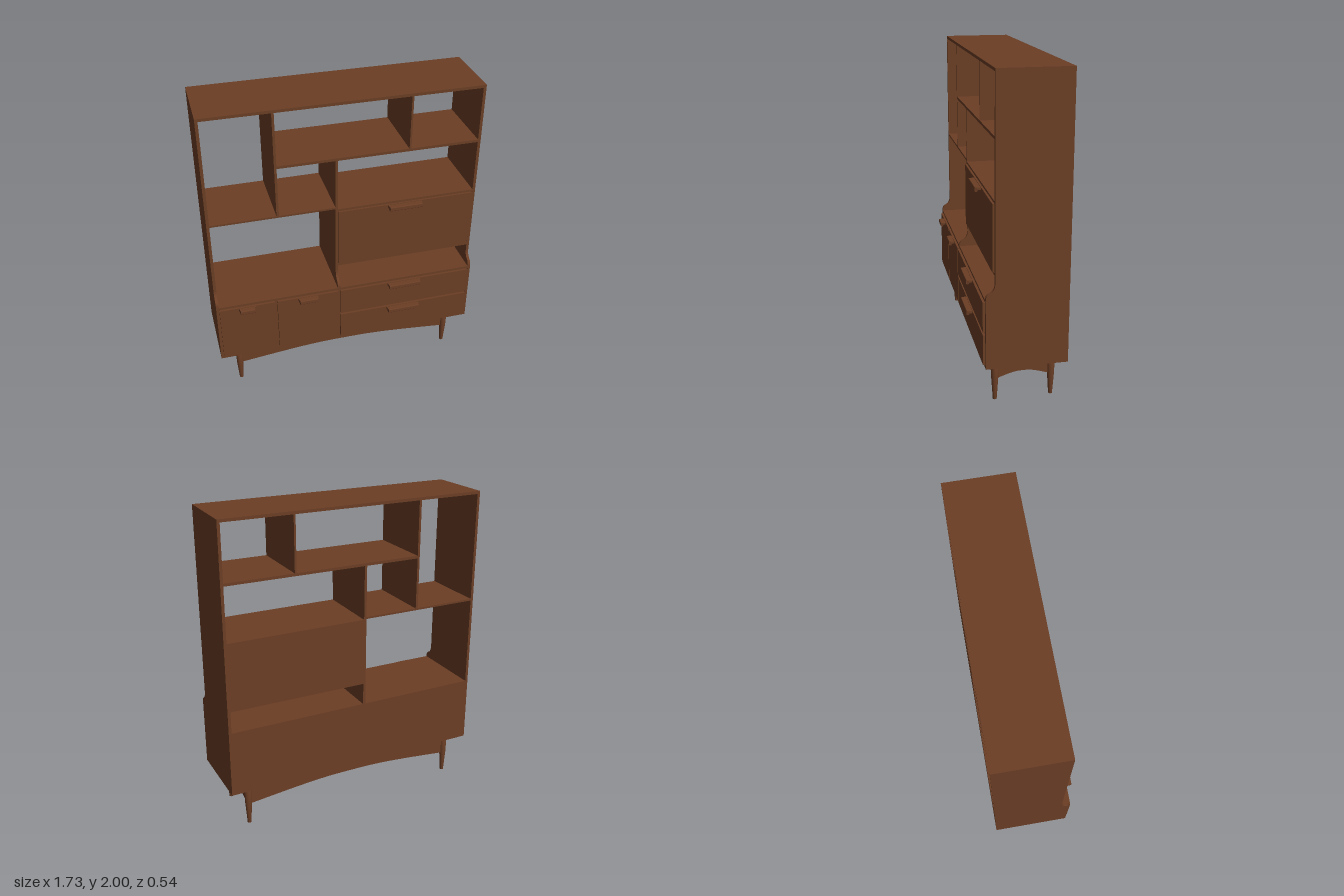
import * as THREE from 'three';

const wood = new THREE.MeshStandardMaterial({ color: 0x6b3e25 });
wood.name = 'walnut brown';

const BACK = -0.268, UPPER = 0.168, LOWER = 0.223;

export function createModel() {
  const root = new THREE.Group();
  root.name = 'wallUnit';

  const add = (name, geo, x = 0, y = 0, z = 0) => {
    const m = new THREE.Mesh(geo, wood);
    m.name = name;
    m.position.set(x, y, z);
    root.add(m);
    return m;
  };
  // Box given by its limits on each axis
  const box = (name, x0, x1, y0, y1, z0 = BACK, z1 = UPPER) =>
    add(name, new THREE.BoxGeometry(x1 - x0, y1 - y0, z1 - z0), (x0 + x1) / 2, (y0 + y1) / 2, (z0 + z1) / 2);

  // Upright with a deeper base and an S-curved shoulder (profile in z, y)
  const upright = (name, x, thick, top) => {
    const s = new THREE.Shape();
    s.moveTo(BACK, 0.27);
    s.lineTo(LOWER, 0.27);
    s.lineTo(LOWER, 0.7);
    s.bezierCurveTo(LOWER, 0.745, 0.197, 0.735, 0.182, 0.755);
    s.quadraticCurveTo(UPPER, 0.772, UPPER, 0.8);
    s.lineTo(UPPER, top);
    s.lineTo(BACK, top);
    s.closePath();
    const g = new THREE.ExtrudeGeometry(s, { depth: thick, bevelEnabled: false, curveSegments: 8 });
    g.translate(0, 0, -thick / 2);
    g.rotateY(-Math.PI / 2);
    g.scale(1, 1, 1);
    add(name, g, x);
  };
  upright('rightSide', -0.854, 0.018, 2);
  upright('leftSide', 0.854, 0.018, 2);
  upright('middleUpright', -0.057, 0.016, 1.625);

  // Carcass boards and shelves
  box('topBoard', -0.845, 0.845, 1.982, 2);
  box('upperShelf', -0.43, 0.845, 1.62, 1.637);
  box('leftShelf', -0.845, -0.057, 1.279, 1.291);
  box('cupboardTop', -0.05, 0.845, 1.262, 1.276);
  box('cupboardBottom', -0.05, 0.845, 0.841, 0.855);
  box('baseTop', -0.845, 0.845, 0.682, 0.698, BACK, LOWER);
  box('baseBottom', -0.845, 0.845, 0.27, 0.288, BACK, LOWER);
  box('tallDivider', -0.436, -0.421, 1.285, 1.985);
  box('shortDivider', 0.399, 0.411, 1.63, 1.985);
  box('doorDivider', -0.486, -0.47, 0.28, 0.69, BACK, 0.22);
  box('drawerRail', -0.05, 0.845, 0.474, 0.498, 0.1, 0.22);
  box('baseBack', -0.845, 0.845, 0.275, 0.695, BACK, BACK + 0.01);
  box('cupboardBack', -0.05, 0.845, 0.845, 1.272, BACK, BACK + 0.01);

  // Hooked pull with tapered ends, its back resting on z
  const handle = (x0, x1, top, z) => {
    const s = new THREE.Shape();
    s.moveTo(-0.01, 0);
    s.lineTo(0.03, 0);
    s.quadraticCurveTo(0.035, 0, 0.035, -0.005);
    s.lineTo(0.035, -0.022);
    s.quadraticCurveTo(0.035, -0.027, 0.03, -0.027);
    s.lineTo(0.021, -0.027);
    s.quadraticCurveTo(0.018, -0.015, 0.01, -0.014);
    s.lineTo(-0.01, -0.014);
    s.closePath();
    const w = x1 - x0;
    const g = new THREE.ExtrudeGeometry(s, { depth: w, bevelEnabled: false, curveSegments: 4 });
    g.translate(0, 0, -w / 2);
    g.rotateY(-Math.PI / 2);
    const p = g.attributes.position;
    for (let i = 0; i < p.count; i++) {
      const inset = THREE.MathUtils.clamp(p.getZ(i), 0, 0.03) * 0.3;
      p.setX(i, p.getX(i) - Math.sign(p.getX(i)) * inset);
    }
    g.computeVertexNormals();
    // extrusion runs along -x after the turn, with the profile facing +z
    add('handle', g, (x0 + x1) / 2, top, z);
  };

  // Fronts: name, x0, x1, y0, y1, front z, handle x0, x1
  const fronts = [
    ['rightDoor', -0.844, -0.486, 0.29, 0.68, 0.236, -0.722, -0.61],
    ['centreDoor', -0.47, -0.066, 0.29, 0.68, 0.236, -0.335, -0.198],
    ['topDrawer', -0.048, 0.839, 0.497, 0.68, 0.236, 0.27, 0.5],
    ['bottomDrawer', -0.048, 0.839, 0.29, 0.478, 0.236, 0.27, 0.5],
    ['dropFront', -0.048, 0.839, 0.859, 1.261, 0.18, 0.27, 0.5],
  ];
  for (const [name, x0, x1, y0, y1, z, h0, h1] of fronts) {
    box(name, x0, x1, y0, y1, z - 0.02, z);
    handle(h0, h1, y1 - 0.003, z);
  }

  // Tapered legs
  const LX = 0.735, ZF = 0.145, ZB = -0.2;
  for (const x of [-LX, LX]) for (const z of [ZF, ZB]) {
    const g = new THREE.LatheGeometry([[0, 0], [0.012, 0], [0.022, 0.15], [0.024, 0.27], [0, 0.27]]
      .map(([r, y]) => new THREE.Vector2(r, y)), 20);
    add('leg', g.toNonIndexed(), x, 0, z);
  }

  // Arched aprons between the legs
  const apron = (half, mid) => {
    const s = new THREE.Shape();
    s.moveTo(-half, 0.275);
    s.lineTo(-half, 0.14);
    s.bezierCurveTo(-half * 0.35, mid, -half * 0.25, mid, 0, mid);
    s.bezierCurveTo(half * 0.25, mid, half * 0.35, mid, half, 0.14);
    s.lineTo(half, 0.275);
    s.closePath();
    const g = new THREE.ExtrudeGeometry(s, { depth: 0.016, bevelEnabled: false, curveSegments: 12 });
    return g.translate(0, 0, -0.008);
  };
  for (const z of [ZF, ZB]) add('longApron', apron(LX - 0.012, 0.192), 0, 0, z);
  for (const x of [-LX, LX])
    add('sideApron', apron((ZF - ZB) / 2 - 0.012, 0.176).rotateY(Math.PI / 2), x, 0, (ZF + ZB) / 2);

  return root;
}
